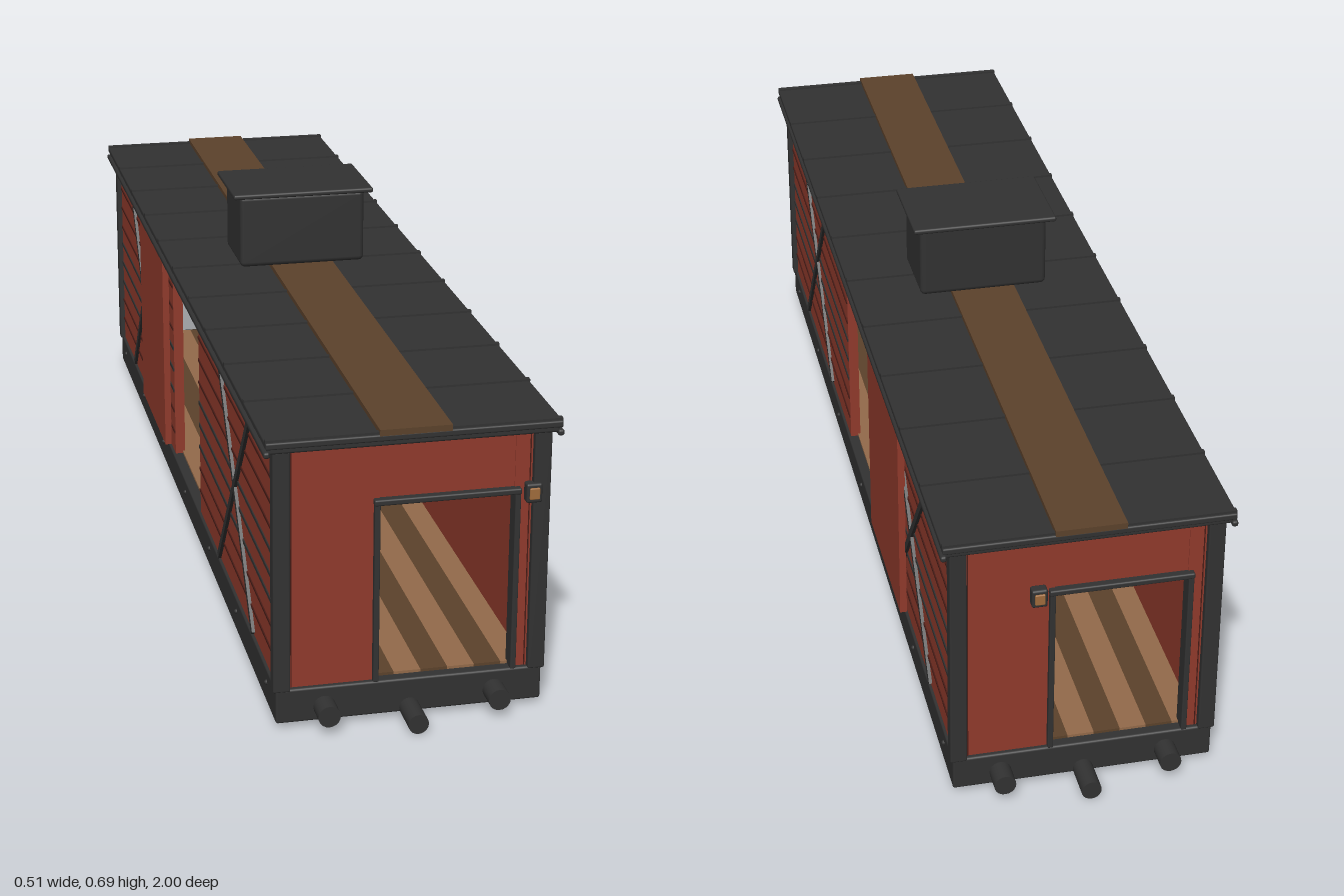
import * as THREE from 'three';
import { RoundedBoxGeometry } from 'three/addons/geometries/RoundedBoxGeometry.js';

const mat = (name, color) => {
  const m = new THREE.MeshStandardMaterial({ color });
  m.name = name;
  return m;
};

export function createModel() {
  const iron = mat('dark iron', 0x323232);
  const red = mat('barn red', 0x913a2c);
  const groove = mat('plank groove', 0x4a1d17);
  const walkWood = mat('brown wood', 0x5c422b);
  const floorWood = mat('light wood', 0x936a4a);
  const amber = mat('amber lamp', 0xa06c3c);

  const model = new THREE.Group();
  model.name = 'boxcar';

  const add = (parent, name, geo, material, x = 0, y = 0, z = 0) => {
    const m = new THREE.Mesh(geo, material);
    m.name = name;
    m.position.set(x, y, z);
    parent.add(m);
    return m;
  };
  // Box given by its extents on each axis
  const box = (parent, name, material, [x0, x1], [y0, y1], [z0, z1], r = 0) => {
    const s = [x1 - x0, y1 - y0, z1 - z0];
    const geo = r ? new RoundedBoxGeometry(...s, 2, r) : new THREE.BoxGeometry(...s);
    return add(parent, name, geo, material, (x0 + x1) / 2, (y0 + y1) / 2, (z0 + z1) / 2);
  };

  // Underframe and two-tone plank floor
  box(model, 'underframe', iron, [-0.235, 0.235], [0.01, 0.073], [-0.935, 0.935], 0.004);
  const planks = 9, plankWidth = 0.43 / planks;
  for (let i = 0; i < planks; i++) {
    const x = -0.215 + i * plankWidth;
    box(model, 'floorPlank', i % 2 ? walkWood : floorWood, [x, x + plankWidth], [0.07, 0.078], [-0.915, 0.915]);
  }

  // Long sides, mirrored by s
  for (const s of [1, -1]) {
    const side = new THREE.Group();
    side.name = s > 0 ? 'leftSide' : 'rightSide';
    model.add(side);
    const span = (a, b) => (s > 0 ? [a, b] : [-b, -a]);

    for (const e of [1, -1]) {
      const along = (a, b) => (e > 0 ? [a, b] : [-b, -a]);
      box(side, 'sideWall', red, span(0.21, 0.23), [0.072, 0.512], along(0.156, 0.92));
      // Plank joints; the middle three are iron straps
      for (let i = 1; i < 10; i++) {
        const y = 0.0725 + i * 0.0465 + (i > 5 ? -0.002 : 0.002);
        const strap = i >= 3 && i <= 5;
        const h = strap ? 0.0035 : 0.0025;
        box(side, strap ? 'wallStrap' : 'plankJoint', strap ? iron : groove,
          span(0.229, 0.232), [y - h, y + h], along(0.157, 0.915));
      }
      // Crossed braces
      for (const d of [1, -1]) {
        const length = Math.hypot(0.34, 0.43);
        const brace = add(side, 'crossBrace', new THREE.BoxGeometry(0.007, length, 0.013), iron,
          s * 0.2325, 0.293, e * 0.55);
        brace.rotation.x = d * Math.atan2(0.34, 0.43);
      }
      // Corner post
      box(side, 'cornerPost', iron, span(0.21, 0.24), [0.07, 0.512], along(0.912, 0.938), 0.003);
    }

    // Sliding door, parked open, with its rail
    box(side, 'slidingDoor', red, span(0.234, 0.247), [0.083, 0.488], [-0.5, -0.186]);
    box(side, 'doorRail', iron, span(0.227, 0.241), [0.486, 0.499], [-0.62, 0.16], 0.003);
    box(side, 'gutter', iron, span(0.246, 0.257), [0.506, 0.517], [-0.95, 0.95], 0.004);

    // Rivets along the underframe
    for (let i = -3; i <= 3; i++) {
      add(side, 'rivet', new THREE.SphereGeometry(0.005, 8, 6), iron, s * 0.235, 0.05, i * 0.285);
    }
  }

  // End walls: the back is the front turned half round
  for (const e of [1, -1]) {
    const end = new THREE.Group();
    end.name = e > 0 ? 'frontEnd' : 'backEnd';
    if (e < 0) end.rotation.y = Math.PI;
    model.add(end);

    const wallZ = [0.908, 0.926];
    box(end, 'endWallWide', red, [-0.212, -0.055], [0.072, 0.512], wallZ);
    box(end, 'endWallNarrow', red, [0.18, 0.212], [0.072, 0.512], wallZ);
    box(end, 'endWallHeader', red, [-0.055, 0.18], [0.402, 0.512], [0.908, 0.924]);
    for (const x of [-0.207, 0.206]) {
      box(end, 'panelSeam', groove, [x - 0.001, x + 0.001], [0.073, 0.511], [0.925, 0.927]);
    }

    // Doorway frame
    for (const x of [-0.06, 0.184]) {
      box(end, 'doorPost', iron, [x - 0.005, x + 0.005], [0.072, 0.405], [0.905, 0.936], 0.002);
    }
    box(end, 'doorLintel', iron, [-0.066, 0.19], [0.4, 0.411], [0.905, 0.938], 0.003);

    // Marker lamp
    const lampX = e > 0 ? 0.21 : -0.085;
    box(end, 'lampHousing', iron, [lampX - 0.014, lampX + 0.014], [0.385, 0.42], [0.924, 0.944], 0.004);
    box(end, 'lampGlass', amber, [lampX - 0.009, lampX + 0.009], [0.392, 0.413], [0.94, 0.947], 0.002);

    // Buffers and coupler
    const rod = (name, x, y, r, z0, z1) => {
      const geo = new THREE.CylinderGeometry(r, r, z1 - z0, 20).rotateX(Math.PI / 2);
      add(end, name, geo, iron, x, y, (z0 + z1) / 2);
    };
    for (const x of [-0.15, 0.15]) rod('buffer', x, 0.036, 0.0195, 0.93, 0.976);
    rod('coupler', 0, 0.018, 0.018, 0.92, 1);
  }

  // Roof with seams and a running board
  box(model, 'roofEave', iron, [-0.25, 0.25], [0.511, 0.525], [-0.945, 0.945], 0.004);
  box(model, 'roofDeck', iron, [-0.254, 0.254], [0.522, 0.534], [-0.952, 0.952], 0.003);
  for (let i = -5; i <= 5; i++) {
    const z = i * 0.1885;
    box(model, 'roofSeam', iron, [-0.254, 0.254], [0.53, 0.538], [z - 0.005, z + 0.005]);
  }
  box(model, 'runningBoard', walkWood, [-0.062, 0.062], [0.532, 0.543], [-0.952, 0.952]);

  // Roof cupola, chamfered, with an overhanging lid
  box(model, 'cupola', iron, [-0.125, 0.125], [0.542, 0.688], [-0.107, 0.05], 0.01);
  box(model, 'cupolaLid', iron, [-0.14, 0.14], [0.685, 0.695], [-0.125, 0.063], 0.004);

  return model;
}
